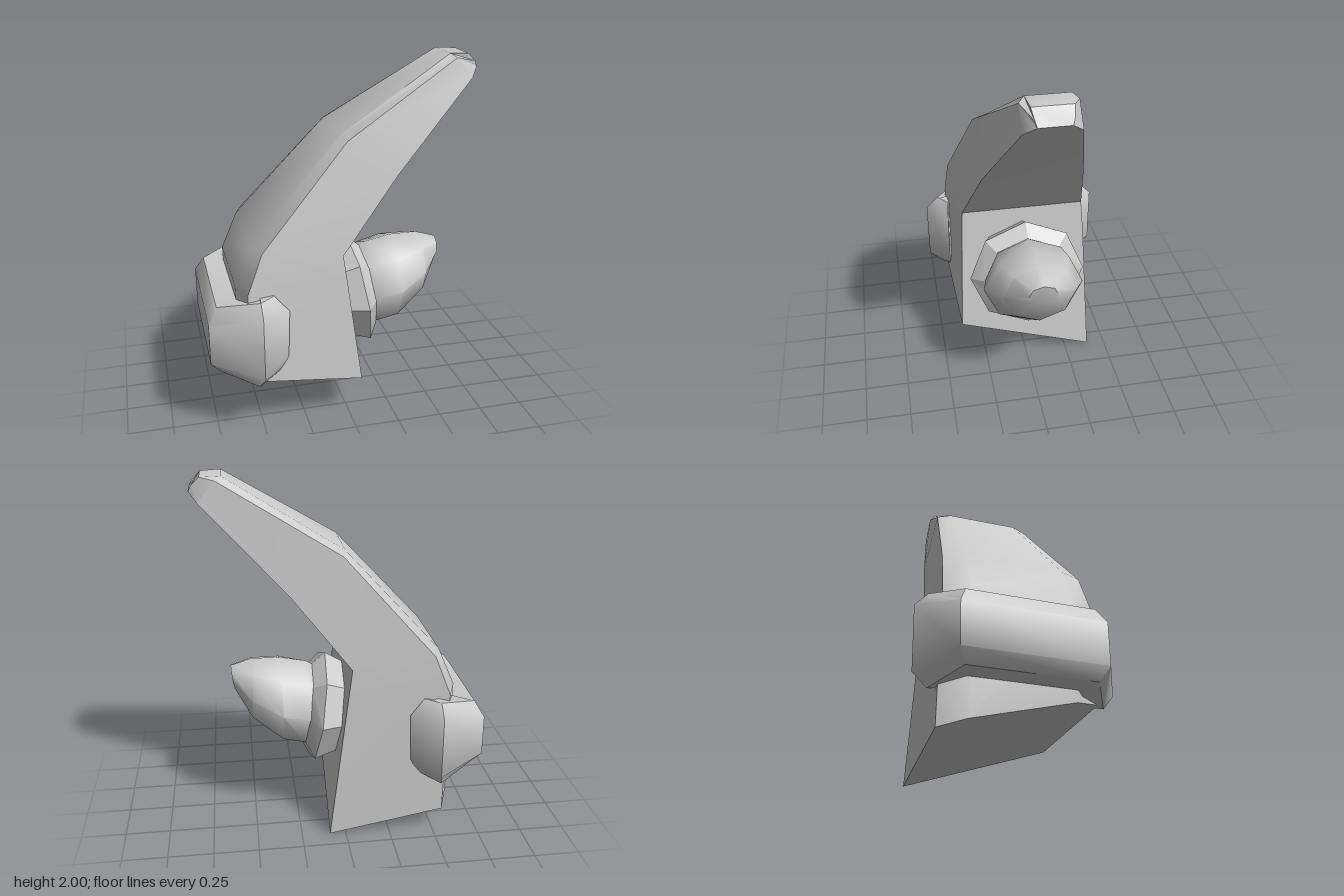
import * as THREE from 'three';
import { toCreasedNormals } from 'three/addons/utils/BufferGeometryUtils.js';

const material = new THREE.MeshStandardMaterial({ color: 0xcccccc });

// Skin a list of equal-length rings (counter-clockwise around the path) and cap both ends
function loft(name, rings, crease) {
  const n = rings[0].length, index = [];
  const points = rings.flat();
  for (let i = 0; i < rings.length - 1; i++) {
    for (let k = 0; k < n; k++) {
      const a = i * n + k, b = i * n + (k + 1) % n;
      index.push(a, b, b + n, a, b + n, a + n);
    }
  }
  const last = (rings.length - 1) * n;
  for (let k = 1; k < n - 1; k++) {
    index.push(0, k + 1, k);
    index.push(last, last + k, last + k + 1);
  }
  const geometry = new THREE.BufferGeometry();
  geometry.setAttribute('position', new THREE.Float32BufferAttribute(points.flat(), 3));
  geometry.setIndex(index);
  const mesh = new THREE.Mesh(toCreasedNormals(geometry, crease), material);
  mesh.name = name;
  return mesh;
}

const mirrorZ = ([x, y, z]) => [x, y, -z];

// Curved horn: each section is back, side and inner corner, mirrored in z
function createHorn() {
  const sections = [
    [[-0.62, 0.85, 0.28], [-0.57, 0.84, 0.405], [-0.018, 0.83, 0.36]],
    [[-0.53, 1.06, 0.27], [-0.485, 1.06, 0.385], [-0.04, 0.99, 0.35]],
    [[-0.02, 1.615, 0.2], [0, 1.6, 0.275], [0.28, 1.39, 0.27]],
    [[0.61, 2, 0.11], [0.64, 1.98, 0.14], [0.735, 1.87, 0.14]],
    [[0.72, 1.995, 0.1], [0.765, 1.95, 0.09], [0.78, 1.92, 0.08]],
  ];
  // Slanted foot, lower on the -z side
  const foot = [
    [-0.605, 0.31, 0.28], [-0.55, 0.33, 0.42], [0.06, 0.245, 0.39],
    [0.09, 0, -0.395], [-0.55, 0.13, -0.42], [-0.605, 0.17, -0.28],
  ];
  const rings = sections.map((s) => [...s, ...s.map(mirrorZ).reverse()]);
  return loft('horn', [foot, ...rings], 0.6);
}

// Bevelled bar wrapped around the back: lower, upper, top, inner and bottom corners
function createBackBar() {
  const half = [
    [[-0.36, 0.46, 0.41], [-0.35, 0.73, 0.41], [-0.43, 0.825, 0.40],
      [-0.43, 0.8, 0.3], [-0.43, 0.38, 0.3], [-0.4, 0.38, 0.40]],
    [[-0.51, 0.4, 0.53], [-0.51, 0.75, 0.53], [-0.51, 0.82, 0.46],
      [-0.5, 0.82, 0.3], [-0.5, 0.33, 0.3], [-0.53, 0.32, 0.46]],
    [[-0.78, 0.45, 0.38], [-0.78, 0.68, 0.38], [-0.73, 0.765, 0.34],
      [-0.5, 0.78, 0.25], [-0.5, 0.37, 0.25], [-0.73, 0.38, 0.34]],
  ];
  const other = half.map((ring) => ring.map(mirrorZ)).reverse();
  return loft('backBar', [...half, ...other], 0.75);
}

// Eight-sided ring spanned by its top point, bottom point and half width
function octagon([tx, ty, bx, by, r]) {
  return Array.from({ length: 8 }, (_, k) => {
    const c = Math.cos(k * Math.PI / 4), s = Math.sin(k * Math.PI / 4);
    return [(tx + bx) / 2 + c * (tx - bx) / 2, (ty + by) / 2 + c * (ty - by) / 2, s * r];
  });
}

export function createModel() {
  const group = new THREE.Group();
  group.name = 'hornWithSpike';
  group.add(createHorn(), createBackBar());

  // Collar on the front wall
  const collar = [
    [-0.04, 0.895, 0.04, 0.35, 0.28],
    [0.07, 0.96, 0.17, 0.31, 0.335],
    [0.15, 0.89, 0.215, 0.41, 0.25],
  ];
  group.add(loft('collar', collar.map(octagon), 0.5));

  // Spike curving upwards to a blunt tip
  const spike = [
    [0.12, 0.88, 0.17, 0.41, 0.24],
    [0.18, 0.915, 0.215, 0.415, 0.26],
    [0.33, 0.945, 0.33, 0.45, 0.28],
    [0.49, 0.947, 0.5, 0.59, 0.2],
    [0.61, 0.91, 0.59, 0.77, 0.08],
  ];
  group.add(loft('spike', spike.map(octagon), 0.9));
  return group;
}
